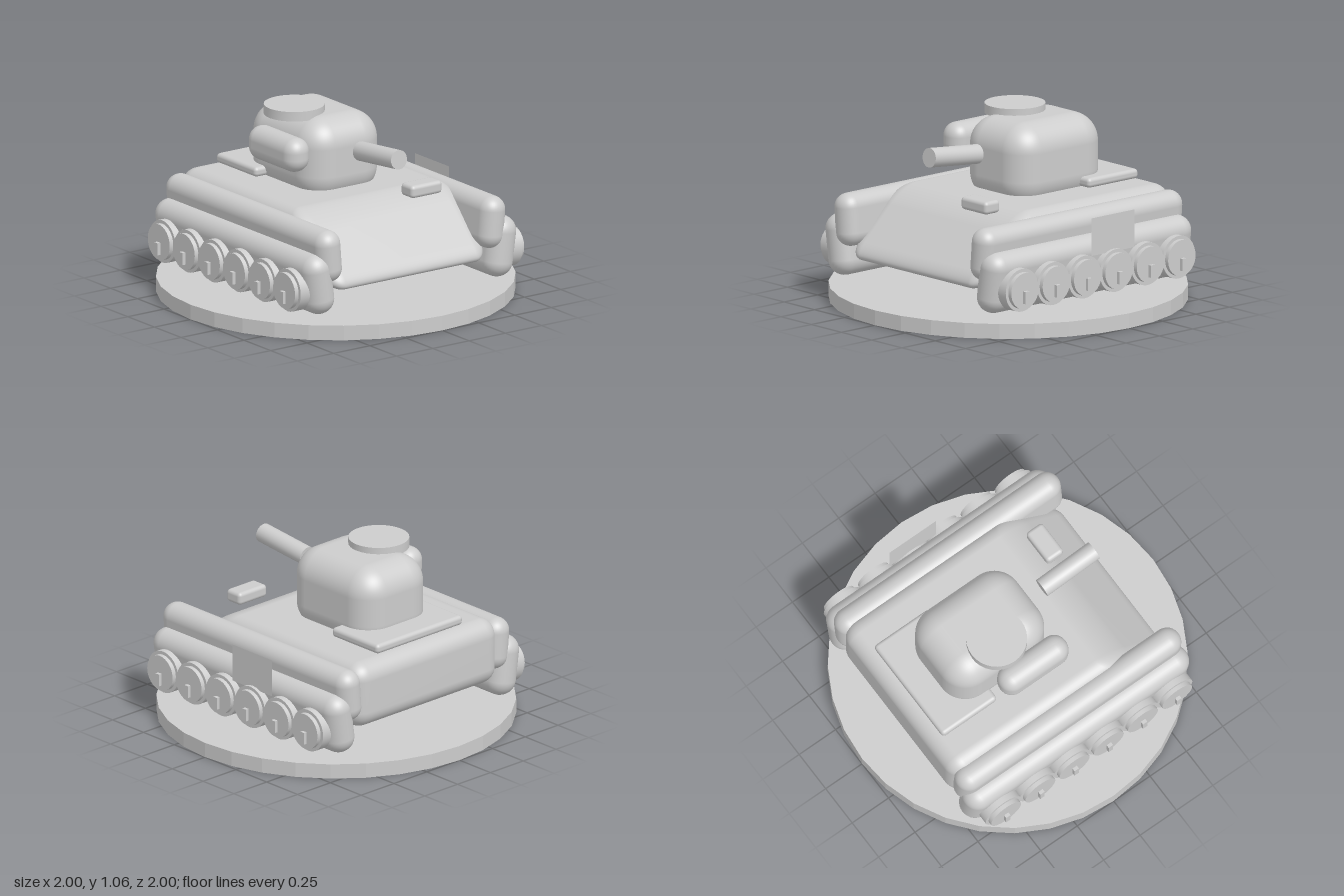
import * as THREE from 'three';
import { RoundedBoxGeometry } from 'three/addons/geometries/RoundedBoxGeometry.js';
import { mergeVertices, toCreasedNormals } from 'three/addons/utils/BufferGeometryUtils.js';

export function createModel() {
  const model = new THREE.Group();
  model.name = 'tank';
  const grey = new THREE.MeshStandardMaterial({ color: 0xcccccc });
  grey.name = 'plainGrey';
  const greySheet = new THREE.MeshStandardMaterial({ color: 0xcccccc, side: THREE.DoubleSide });
  greySheet.name = 'plainGreySheet';

  const add = (name, geometry, x, y, z, parent = model, material = grey) => {
    const mesh = new THREE.Mesh(geometry, material);
    mesh.name = name;
    mesh.position.set(x, y, z);
    parent.add(mesh);
    return mesh;
  };
  const rounded = (w, h, d, r, segments = 5) => new RoundedBoxGeometry(w, h, d, segments, r);
  const disc = (r, h, sides = 32, crease = 0.5) =>
    toCreasedNormals(new THREE.CylinderGeometry(r, r, h, sides), crease);

  // round display base with faceted rim
  add('base', disc(1, 0.085, 32, 0.1), 0, 0.0425, 0);

  // hull: rounded box whose front leans back into a sloping plate
  let hull = rounded(1.1, 0.385, 1.53, 0.1, 6);
  const p = hull.attributes.position;
  for (let i = 0; i < p.count; i++) {
    if (p.getZ(i) > 0) p.setZ(i, p.getZ(i) - 0.4 * (p.getY(i) / 0.385 + 0.5));
  }
  hull.deleteAttribute('normal');
  hull.deleteAttribute('uv');
  hull = mergeVertices(hull, 1e-4);
  hull.computeVertexNormals();
  add('hull', hull, 0, 0.4325, 0.005);

  // running gear on both sides
  for (const side of [1, -1]) {
    const gear = new THREE.Group();
    gear.name = side > 0 ? 'leftRunningGear' : 'rightRunningGear';
    model.add(gear);
    const fender = add('fender', rounded(0.16, 0.3, 1.52, 0.079), side * 0.563, 0.455, 0, gear);
    fender.rotation.z = -side * 0.08;
    const track = add('track', rounded(0.18, 0.35, 1.52, 0.089), side * 0.627, 0.303, 0, gear);
    track.rotation.z = -side * 0.14;

    for (let i = 0; i < 6; i++) {
      const z = 0.59 - i * 0.235;
      const wheel = new THREE.Group();
      wheel.name = 'roadWheel' + (i + 1);
      wheel.position.set(0, 0.27, z);
      gear.add(wheel);
      add('rim', disc(0.122, 0.125), side * 0.7025, 0, 0, wheel).rotation.z = Math.PI / 2;
      add('face', disc(0.103, 0.06), side * 0.76, 0, 0, wheel).rotation.z = Math.PI / 2;
      add('hubPeg', new THREE.BoxGeometry(0.04, 0.07, 0.03), side * 0.79, -0.035, 0, wheel);
    }
  }

  // turret, hatch and side stowage
  add('turret', rounded(0.52, 0.48, 0.665, 0.16, 8), 0, 0.78, -0.192);
  add('hatch', disc(0.17, 0.055), -0.15, 1.03, -0.185);
  add('turretSideBox', rounded(0.16, 0.195, 0.45, 0.078), -0.338, 0.857, -0.073);

  // gun barrel, raised slightly towards the front
  const from = new THREE.Vector3(0, 0.856, 0.235);
  const to = new THREE.Vector3(0, 0.891, 0.593);
  const axis = to.clone().sub(from);
  const barrel = add('gunBarrel', disc(0.055, axis.length(), 24), 0, 0, 0);
  barrel.position.copy(from).add(to).multiplyScalar(0.5);
  barrel.quaternion.setFromUnitVectors(new THREE.Vector3(0, 1, 0), axis.normalize());

  // deck fittings
  add('rearDeckPlate', rounded(0.655, 0.056, 0.375, 0.022, 3), 0, 0.655, -0.495);
  add('frontBlock', rounded(0.213, 0.073, 0.113, 0.022, 3), 0.263, 0.648, 0.447);

  // thin marking panel on the left side
  const panel = add('sidePanel', new THREE.PlaneGeometry(0.32, 0.215), 0.745, 0.4825, -0.11, model, greySheet);
  panel.rotation.y = Math.PI / 2;

  return model;
}
